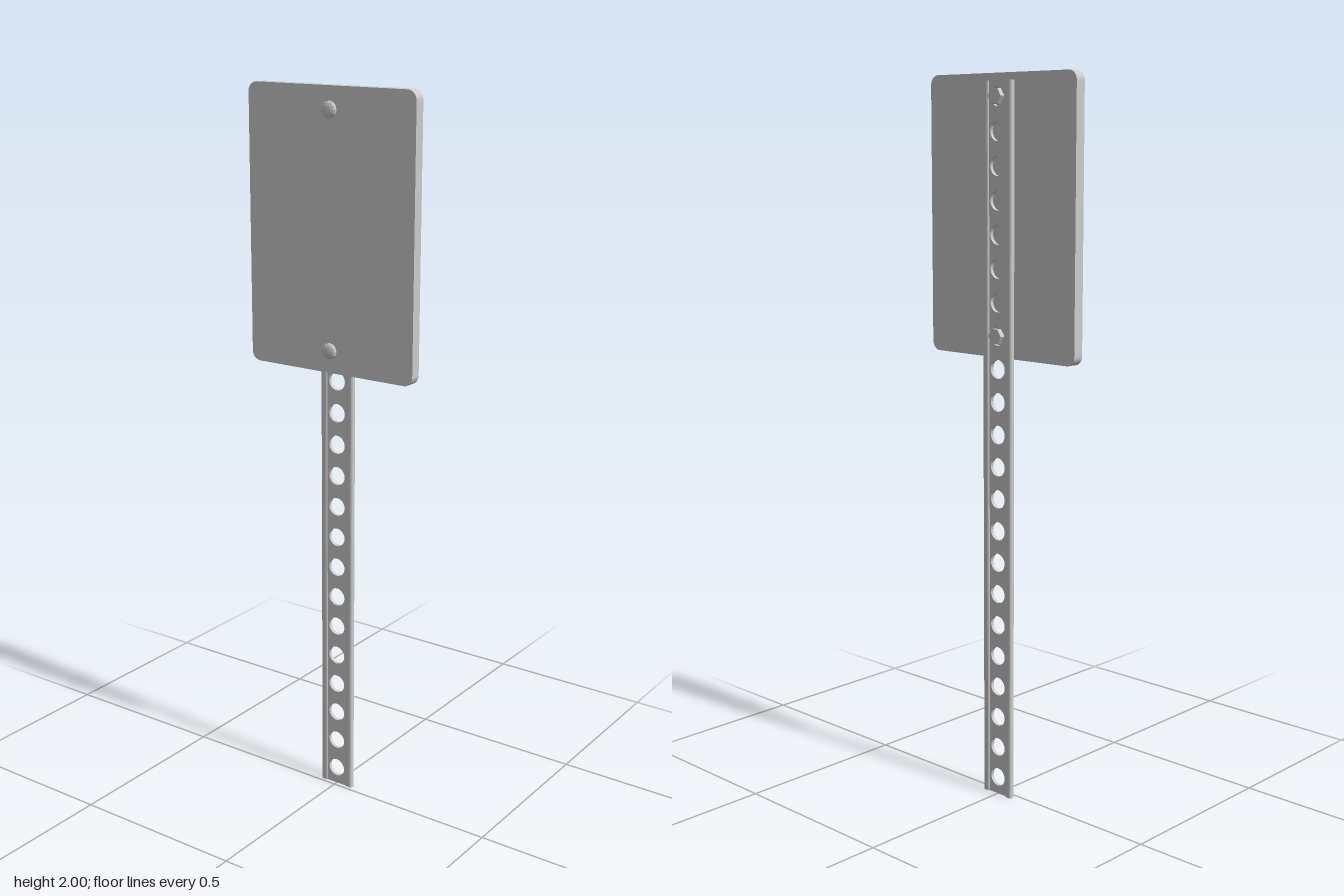
import * as THREE from 'three';

const material = new THREE.MeshStandardMaterial({ color: 0xcccccc, flatShading: true });

function add(parent, name, geometry, x = 0, y = 0, z = 0) {
  const mesh = new THREE.Mesh(geometry, material);
  mesh.name = name;
  mesh.position.set(x, y, z);
  parent.add(mesh);
  return mesh;
}

// Rectangle with rounded corners, centred on the origin
function roundedRect(w, h, r) {
  const x = w / 2, y = h / 2, s = new THREE.Shape();
  s.moveTo(-x + r, -y);
  s.absarc(x - r, -y + r, r, -Math.PI / 2, 0);
  s.absarc(x - r, y - r, r, 0, Math.PI / 2);
  s.absarc(-x + r, y - r, r, Math.PI / 2, Math.PI);
  s.absarc(-x + r, -y + r, r, Math.PI, Math.PI * 1.5);
  return s;
}

export function createModel() {
  const model = new THREE.Group();
  model.name = 'signpost';
  const postTop = 1.98, firstHole = 0.05, pitch = 0.09, holeCount = 22;

  // Sign plate
  add(model, 'signPlate', new THREE.ExtrudeGeometry(roundedRect(0.523, 0.75, 0.026),
    { depth: 0.031, bevelEnabled: false, curveSegments: 4 }), 0, 1.625, -0.01);

  // Post: perforated web between two thick rounded rails
  const post = new THREE.Group();
  post.name = 'post';
  model.add(post);
  const web = new THREE.Shape();
  web.moveTo(-0.035, 0);
  web.lineTo(0.035, 0);
  web.lineTo(0.035, postTop);
  web.lineTo(-0.035, postTop);
  web.closePath();
  for (let i = 0; i < holeCount; i++) {
    const hole = new THREE.Path();
    hole.absarc(0, firstHole + i * pitch, 0.026, 0, Math.PI * 2, true);
    web.holes.push(hole);
  }
  add(post, 'perforatedWeb', new THREE.ExtrudeGeometry(web,
    { depth: 0.01, bevelEnabled: false, curveSegments: 12 }), 0, 0, -0.0225);
  for (const side of [-1, 1]) {
    const rail = new THREE.ExtrudeGeometry(roundedRect(0.023, 0.017, 0.007),
      { depth: postTop, bevelEnabled: false, curveSegments: 3 });
    rail.rotateX(-Math.PI / 2);
    add(post, side > 0 ? 'leftRail' : 'rightRail', rail, side * 0.0415, 0, -0.0185);
  }

  // Bolts: domed head in front, shank, hexagonal nut behind
  const headProfile = [[0, 0], [0.022, 0], [0.022, 0.006], [0.018, 0.009], [0.01, 0.011], [0, 0.0115]]
    .map(([r, h]) => new THREE.Vector2(r, h));
  const head = new THREE.LatheGeometry(headProfile, 12).rotateX(Math.PI / 2);
  const shank = new THREE.CylinderGeometry(0.012, 0.012, 0.05, 12).rotateX(Math.PI / 2);
  const nut = new THREE.CylinderGeometry(0.023, 0.023, 0.0135, 6, 1, false, Math.PI / 2).rotateX(Math.PI / 2);
  for (const index of [14, 21]) {
    const bolt = new THREE.Group();
    bolt.name = index === 21 ? 'upperBolt' : 'lowerBolt';
    bolt.position.y = firstHole + index * pitch;
    model.add(bolt);
    add(bolt, 'boltHead', head, 0, 0, 0.0205);
    add(bolt, 'boltShank', shank, 0, 0, -0.004);
    add(bolt, 'nut', nut, 0, 0, -0.0285);
  }
  return model;
}
